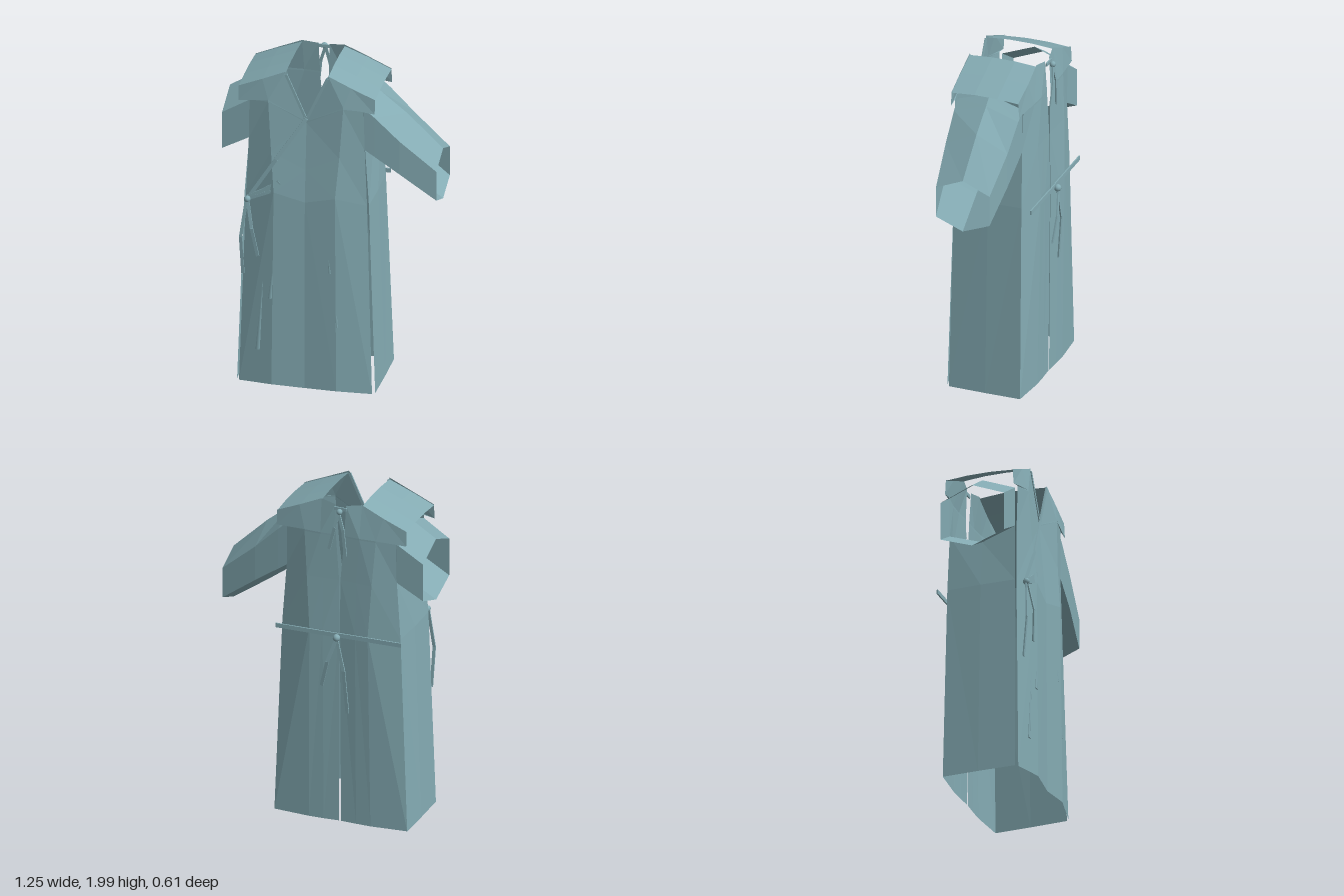
import * as THREE from 'three';

const CX = -0.13; // centre line of the garment
const cloth = new THREE.MeshStandardMaterial({ color: 0x84abb3, side: THREE.DoubleSide });
cloth.name = 'blue green cloth';

// Faceted sheet through rows of [x, y, z] points
function sheet(name, rows, flip = false) {
  const pos = [];
  for (let r = 0; r < rows.length - 1; r++) {
    for (let c = 0; c < rows[r].length - 1; c++) {
      const a = rows[r][c], b = rows[r][c + 1], d = rows[r + 1][c], e = rows[r + 1][c + 1];
      const quad = flip ? [a, b, d, b, e, d] : [a, d, b, b, d, e];
      quad.forEach((p) => pos.push(...p));
    }
  }
  const g = new THREE.BufferGeometry();
  g.setAttribute('position', new THREE.Float32BufferAttribute(pos, 3));
  g.computeVertexNormals();
  const m = new THREE.Mesh(g, cloth);
  m.name = name;
  return m;
}

// Flat tape along a list of points, lying towards z
function tape(name, points, width = 0.022) {
  const group = new THREE.Group();
  group.name = name;
  for (let i = 0; i < points.length - 1; i++) {
    const a = new THREE.Vector3(...points[i]), b = new THREE.Vector3(...points[i + 1]);
    const m = new THREE.Mesh(new THREE.BoxGeometry(width, 0.008, a.distanceTo(b)), cloth);
    m.name = name + 'Segment';
    m.up.set(0, 0, 1);
    m.position.copy(a).add(b).multiplyScalar(0.5);
    m.lookAt(b);
    group.add(m);
  }
  return group;
}

function knot(name, x, y, z, r = 0.02) {
  const m = new THREE.Mesh(new THREE.SphereGeometry(r, 10, 8), cloth);
  m.name = name;
  m.position.set(x, y, z);
  return m;
}

// Slim tapered fold resting on the front panel
function fold(a, b, r) {
  const p = new THREE.Vector3(...a), q = new THREE.Vector3(...b);
  const m = new THREE.Mesh(new THREE.ConeGeometry(r, p.distanceTo(q), 6), cloth);
  m.name = 'frontFold';
  m.scale.z = 0.5;
  m.position.copy(p).add(q).multiplyScalar(0.5);
  m.quaternion.setFromUnitVectors(new THREE.Vector3(0, 1, 0), p.sub(q).normalize());
  return m;
}

// Hexagonal sleeve; each section is [x, top, upperCorner, lowerCorner, bottom, halfDepth]
function sleeve(name, sections, flip) {
  const rows = sections.map(([x, t, u, l, b, h]) => [
    [x, t, 0], [x, u, h], [x, l, h], [x, b, 0], [x, l, -h], [x, u, -h], [x, t, 0],
  ]);
  return sheet(name, rows, flip);
}

export function createModel() {
  const gown = new THREE.Group();
  gown.name = 'wrapGown';

  // Half panels, given as [distance from centre line, y, z]
  const front = [
    [[0.40, 1.88, 0.21], [0.26, 1.94, 0.212], [0.125, 2.0, 0.21]],
    [[0.40, 1.79, 0.215], [0.22, 1.82, 0.235], [0, 1.70, 0.215]],
    [[0.335, 1.80, 0.215], [0.22, 1.81, 0.236], [0, 1.69, 0.215]],
    [[0.34, 1.55, 0.21], [0.20, 1.50, 0.25], [0, 1.40, 0.24]],
    [[0.355, 1.20, 0.215], [0.18, 1.25, 0.272], [0, 1.20, 0.258]],
    [[0.39, 0.01, 0.24], [0.19, 0.025, 0.283], [0, 0.015, 0.265]],
  ];
  const back = [
    [[0.40, 1.88, -0.20], [0.26, 1.94, -0.205], [0.125, 2.0, -0.20], [0.032, 1.985, -0.215]],
    [[0.40, 1.79, -0.205], [0.22, 1.80, -0.225], [0.12, 1.80, -0.23], [0.026, 1.80, -0.225]],
    [[0.335, 1.80, -0.205], [0.22, 1.79, -0.225], [0.12, 1.79, -0.23], [0.026, 1.79, -0.225]],
    [[0.34, 1.55, -0.20], [0.20, 1.52, -0.24], [0.10, 1.52, -0.235], [0.004, 1.52, -0.23]],
    [[0.365, 1.20, -0.205], [0.18, 1.20, -0.25], [0.10, 1.20, -0.245], [0.003, 1.20, -0.235]],
    [[0.41, 0.01, -0.215], [0.19, 0.01, -0.232], [0.10, 0.01, -0.23], [0.006, 0.01, -0.225]],
  ];
  const side = [
    [[0.34, 1.55, 0.20], [0.34, 1.48, 0], [0.34, 1.55, -0.20]],
    [[0.365, 1.20, 0.21], [0.37, 1.20, 0], [0.365, 1.20, -0.205]],
    [[0.405, 0.01, 0.225], [0.41, 0.01, 0], [0.41, 0.01, -0.215]],
  ];
  const yoke = [
    [[0.125, 1.99, 0.21], [0.125, 2.0, 0.07], [0.125, 2.0, -0.07], [0.125, 1.99, -0.20]],
    [[0.26, 1.935, 0.212], [0.26, 1.945, 0.07], [0.26, 1.945, -0.07], [0.26, 1.935, -0.205]],
    [[0.40, 1.875, 0.21], [0.40, 1.885, 0.07], [0.40, 1.885, -0.07], [0.40, 1.875, -0.20]],
  ];

  for (const s of [1, -1]) {
    const label = s > 0 ? 'left' : 'right';
    const place = (rows) => rows.map((row) => row.map(([d, y, z]) => [CX + s * d, y, z]));
    gown.add(
      sheet(label + 'FrontPanel', place(front), s > 0),
      sheet(label + 'BackPanel', place(back), s < 0),
      sheet(label + 'SidePanel', place(side), s < 0),
      sheet(label + 'ShoulderYoke', place(yoke), s < 0),
      tape(label + 'NeckBinding', [[CX + s * 0.122, 1.985, 0.212], [CX, 1.71, 0.218]], 0.016),
    );
  }

  // Sleeves: a long left one and a short right one
  gown.add(
    sleeve('leftSleeve', [
      [0.205, 1.875, 1.81, 1.55, 1.48, 0.20],
      [0.265, 1.825, 1.76, 1.51, 1.44, 0.198],
      [0.41, 1.71, 1.62, 1.41, 1.335, 0.19],
      [0.62, 1.51, 1.44, 1.255, 1.19, 0.165],
    ], false),
    sleeve('rightSleeve', [
      [-0.47, 1.87, 1.79, 1.55, 1.48, 0.20],
      [-0.63, 1.77, 1.69, 1.46, 1.39, 0.195],
    ], true),
  );

  // Wrap strap across the chest and its side tie
  gown.add(
    tape('wrapStrap', [[CX, 1.72, 0.222], [-0.30, 1.455, 0.255], [-0.465, 1.19, 0.26]]),
    knot('sideKnot', -0.465, 1.19, 0.268),
    tape('sideBow', [[-0.46, 1.20, 0.26], [-0.37, 1.25, 0.26], [-0.28, 1.315, 0.26]], 0.028),
    tape('sideBowLoop', [[-0.46, 1.19, 0.26], [-0.36, 1.235, 0.262], [-0.28, 1.275, 0.262]], 0.018),
    tape('sideTailLong', [[-0.47, 1.18, 0.27], [-0.50, 0.95, 0.285], [-0.492, 0.71, 0.262]], 0.018),
    tape('sideTailShort', [[-0.46, 1.18, 0.275], [-0.432, 1.02, 0.302], [-0.40, 0.84, 0.285]], 0.018),
  );

  // Back waist tie
  gown.add(
    tape('waistStrapRight', [[-0.52, 1.19, -0.256], [CX, 1.19, -0.262]], 0.026),
    tape('waistStrapLeft', [[CX, 1.19, -0.265], [0.25, 1.19, -0.268]], 0.026),
    knot('waistKnot', CX, 1.18, -0.28, 0.022),
    tape('waistTailLeft', [[CX, 1.17, -0.285], [-0.08, 1.03, -0.298], [-0.04, 0.87, -0.285]], 0.02),
    tape('waistTailRight', [[CX, 1.17, -0.28], [-0.175, 0.98, -0.285], [-0.19, 0.71, -0.262]], 0.02),
  );

  // Back neck tie
  gown.add(
    tape('neckStrap', [[-0.17, 1.965, -0.225], [-0.095, 1.965, -0.225]], 0.02),
    knot('neckKnot', CX - 0.005, 1.957, -0.248, 0.018),
    tape('neckTailLeft', [[CX, 1.95, -0.25], [-0.11, 1.86, -0.26], [-0.075, 1.72, -0.258]], 0.018),
    tape('neckTailRight', [[CX, 1.95, -0.25], [-0.16, 1.85, -0.258], [-0.175, 1.69, -0.255]], 0.018),
  );

  // Pressed folds on the skirt
  gown.add(
    fold([-0.285, 1.05, 0.268], [-0.33, 0.57, 0.275], 0.012),
    fold([-0.355, 0.93, 0.262], [-0.405, 0.23, 0.262], 0.014),
    fold([-0.005, 1.11, 0.262], [0.02, 0.77, 0.272], 0.008),
    fold([0.025, 0.94, 0.27], [0.062, 0.43, 0.276], 0.009),
  );
  return gown;
}
